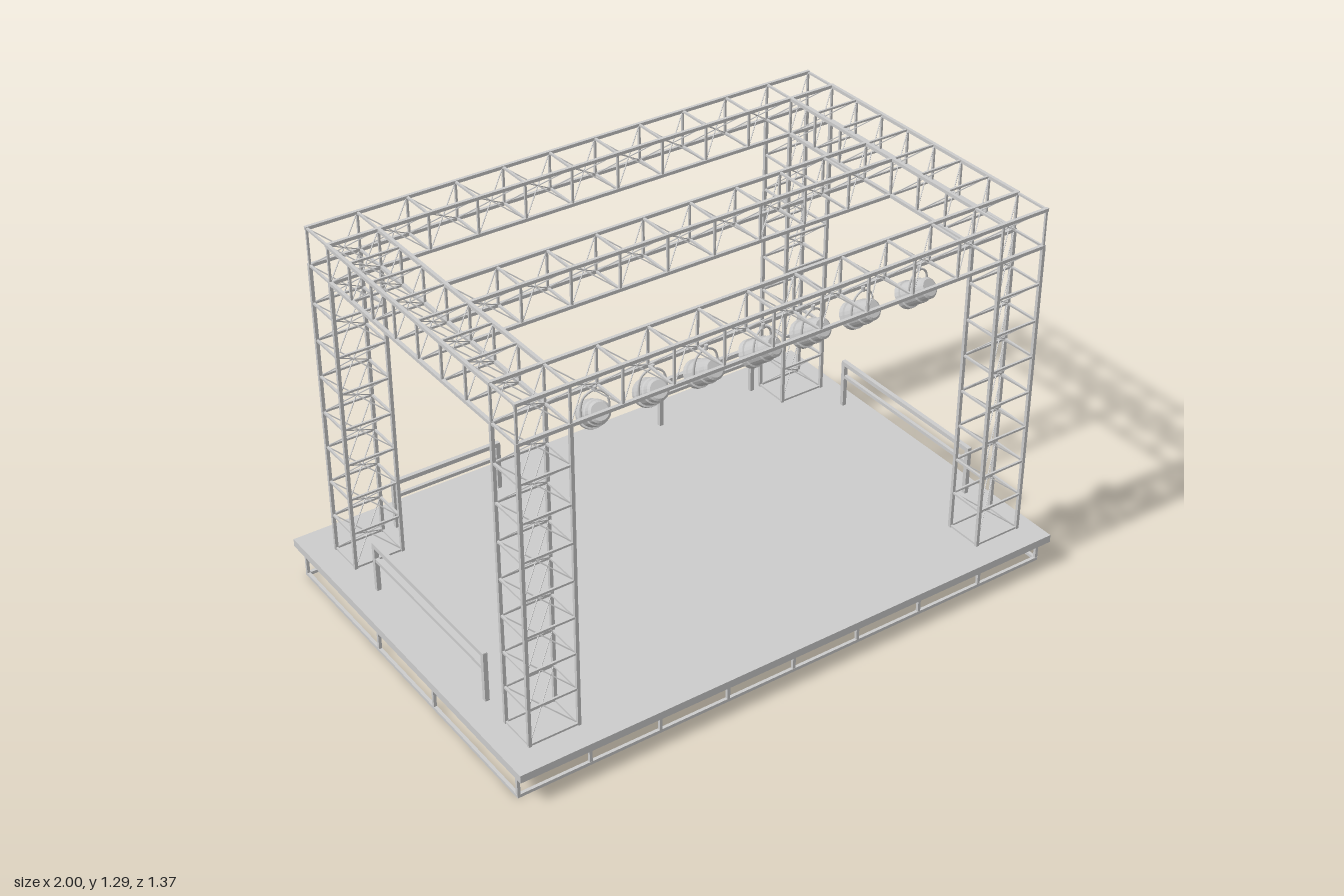
import * as THREE from 'three';
import { mergeGeometries } from 'three/addons/utils/BufferGeometryUtils.js';

const metal = new THREE.MeshStandardMaterial({ color: 0xcccccc });
const metalOpen = new THREE.MeshStandardMaterial({ color: 0xcccccc, side: THREE.DoubleSide });
const UP = new THREE.Vector3(0, 1, 0);

// Square bar between two points
function bar(a, b, t) {
  const p = new THREE.Vector3(...a), q = new THREE.Vector3(...b);
  const g = new THREE.BoxGeometry(t, t, p.distanceTo(q) + t * 0.9);
  const m = new THREE.Matrix4().lookAt(q, p, UP);
  m.setPosition(p.add(q).multiplyScalar(0.5));
  return g.applyMatrix4(m);
}

function mesh(name, geometry, material = metal) {
  const m = new THREE.Mesh(geometry, material);
  m.name = name;
  return m;
}

// Box truss from corner lo to corner hi, split into bays along one axis
function truss(name, lo, hi, axis, bays) {
  const [u, v] = [0, 1, 2].filter(i => i !== axis);
  const point = (s, i) => {
    const p = [0, 0, 0];
    p[axis] = lo[axis] + (hi[axis] - lo[axis]) * s / bays;
    p[u] = i === 1 || i === 2 ? hi[u] : lo[u];
    p[v] = i >= 2 ? hi[v] : lo[v];
    return p;
  };
  const bars = [];
  for (let i = 0; i < 4; i++) {
    bars.push(bar(point(0, i), point(bays, i), 0.011));
    for (let s = 0; s <= bays; s++) {
      bars.push(bar(point(s, i), point(s, (i + 1) % 4), 0.007));
      // thin bracing through each bay
      if (s < bays) bars.push(bar(point(s, i), point(s + 1, (i + 2) % 4), 0.003));
    }
  }
  return mesh(name, mergeGeometries(bars));
}

// Handrail: two posts, top rail and middle rail
function handrail(name, a, b) {
  const t = 0.015, at = ([x, z], y) => [x, y, z];
  return mesh(name, mergeGeometries([
    bar(at(a, 0.1), at(a, 0.29), t), bar(at(b, 0.1), at(b, 0.29), t),
    bar(at(a, 0.291), at(b, 0.291), t), bar(at(a, 0.239), at(b, 0.239), t * 0.8),
  ]));
}

// Perimeter frame below the deck
function baseFrame() {
  const X0 = -0.982, X1 = 0.988, Z = 0.638, bars = [];
  for (const y of [0.006, 0.087]) {
    for (const z of [-Z, Z]) bars.push(bar([X0, y, z], [X1, y, z], 0.011));
    for (const x of [X0, X1]) bars.push(bar([x, y, -Z], [x, y, Z], 0.011));
  }
  for (let i = 0; i <= 8; i++) {
    const x = X0 + (X1 - X0) * i / 8;
    for (const z of [-Z, Z]) bars.push(bar([x, 0.006, z], [x, 0.09, z], 0.01));
  }
  for (const z of [-0.167, 0.167])
    for (const x of [X0, X1]) bars.push(bar([x, 0.006, z], [x, 0.09, z], 0.01));
  return mesh('baseFrame', mergeGeometries(bars));
}

// Spotlight can hung from a yoke, pointing down and to the back
function spotlight(x, yaw) {
  const g = new THREE.Group();
  g.name = 'spotlight';
  const profile = [
    [0, -0.055], [0.026, -0.055], [0.033, -0.049], [0.034, -0.02], [0.038, -0.017],
    [0.038, 0.035], [0.043, 0.037], [0.043, 0.055], [0.039, 0.055], [0.036, 0.03], [0, 0.026],
  ].map(([r, y]) => new THREE.Vector2(r, y));
  const can = mesh('lampCan', new THREE.LatheGeometry(profile, 24).toNonIndexed(), metalOpen);
  can.geometry.computeVertexNormals();
  can.rotation.x = -Math.PI / 2 - 0.62;
  can.position.y = -0.002;

  const arch = new THREE.CatmullRomCurve3([
    [-0.041, -0.005], [-0.041, 0.025], [-0.031, 0.056], [0, 0.073],
    [0.031, 0.056], [0.041, 0.025], [0.041, -0.005],
  ].map(([px, py]) => new THREE.Vector3(px, py, 0)));
  const yoke = mesh('yoke', new THREE.TubeGeometry(arch, 24, 0.0035, 6));
  const clamp = mesh('clamp', new THREE.CylinderGeometry(0.006, 0.006, 0.016, 10));
  clamp.position.y = 0.078;
  g.add(can, yoke, clamp);
  g.position.set(x, 1.075, 0.472);
  g.rotation.y = yaw;
  return g;
}

export function createModel() {
  const model = new THREE.Group();
  model.name = 'stage';

  // Deck and base
  const deck = mesh('deck', new THREE.BoxGeometry(2, 0.027, 1.37));
  deck.position.y = 0.1075;
  model.add(deck, baseFrame());

  // Truss layout: outer limits, top beam heights and bay sizes
  const X0 = -0.911, X1 = 0.936, Z0 = -0.562, Z1 = 0.592, Y0 = 0.126, Y1 = 1.158, Y2 = 1.283;
  const dx = (X1 - X0) / 11, dz = (Z1 - Z0) / 9;

  // Corner towers
  for (const x of [X0, X1 - dx])
    for (const z of [Z0, Z1 - dz])
      model.add(truss('tower', [x, Y0, z], [x + dx, Y1, z + dz], 1, 8));

  // Front and back beams run over the towers
  model.add(truss('frontBeam', [X0, Y1, Z1 - dz], [X1, Y2, Z1], 0, 11));
  model.add(truss('backBeam', [X0, Y1, Z0], [X1, Y2, Z0 + dz], 0, 11));

  // Side beams and the middle beam fit between them
  for (const x of [X0, X1 - dx])
    model.add(truss('sideBeam', [x, Y1, Z0 + dz], [x + dx, Y2, Z1 - dz], 2, 7));
  model.add(truss('middleBeam', [X0 + dx, Y1, Z0 + 4 * dz], [X1 - dx, Y2, Z0 + 5 * dz], 0, 9));

  // Handrails at the sides and the back
  for (const x of [-0.905, 0.932]) model.add(handrail('sideRail', [x, -0.3], [x, 0.345]));
  for (const x of [-0.693, 0.34]) model.add(handrail('backRail', [x, -0.558], [x + 0.385, -0.558]));

  // Spotlights: position along the front beam, turn
  const lamps = [[-0.588, -0.26], [-0.397, -0.2], [-0.216, 0.02], [-0.018, 0.28],
    [0.162, 0.1], [0.345, 0.07], [0.556, 0.18]];
  for (const [x, yaw] of lamps) model.add(spotlight(x, yaw));
  return model;
}
